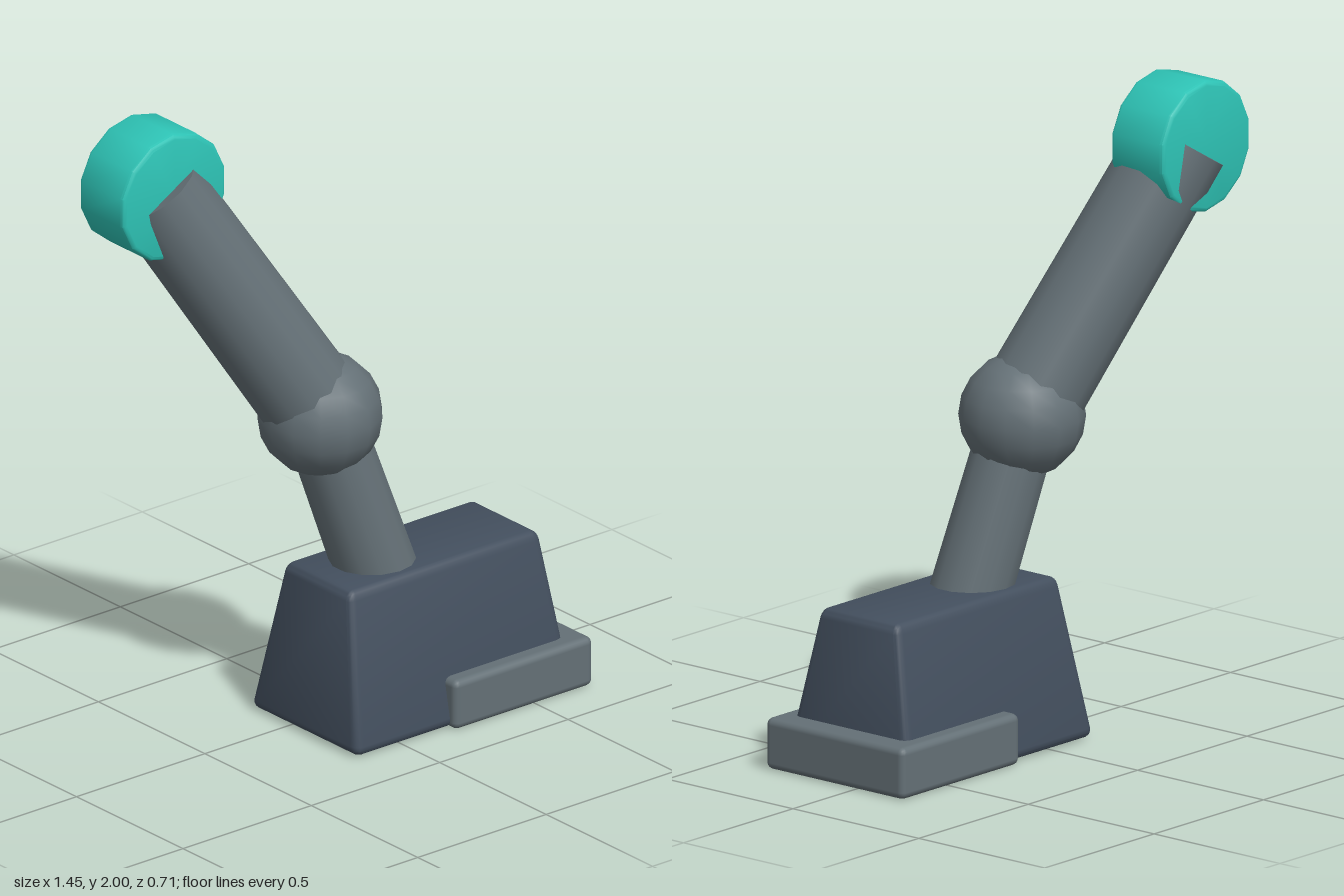
import * as THREE from 'three';
import { RoundedBoxGeometry } from 'three/addons/geometries/RoundedBoxGeometry.js';
import { toCreasedNormals } from 'three/addons/utils/BufferGeometryUtils.js';

const SIDES = 14;

const material = (color) => {
  const m = new THREE.MeshStandardMaterial();
  m.color.set(color);
  return m;
};

// Limb segment running between two joints
function limb(name, from, to, rFrom, rTo, mat) {
  const axis = to.clone().sub(from);
  const mesh = new THREE.Mesh(new THREE.CylinderGeometry(rTo, rFrom, axis.length(), SIDES), mat);
  mesh.name = name;
  mesh.position.copy(from).add(to).multiplyScalar(0.5);
  mesh.quaternion.setFromUnitVectors(new THREE.Vector3(0, 1, 0), axis.normalize());
  return mesh;
}

// Rounded box whose top is narrowed to the given scale
function taperedBox(w, h, d, radius, topX, topZ) {
  const geo = new RoundedBoxGeometry(w, h, d, 2, radius);
  const p = geo.attributes.position;
  for (let i = 0; i < p.count; i++) {
    const t = p.getY(i) / h + 0.5;
    p.setX(i, p.getX(i) * THREE.MathUtils.lerp(1, topX, t));
    p.setZ(i, p.getZ(i) * THREE.MathUtils.lerp(1, topZ, t));
  }
  return toCreasedNormals(geo, 0.7);
}

// Disc with softened rims, axis along z
function softDisc(radius, width, bevel) {
  const h = width / 2;
  const profile = [new THREE.Vector2(0, -h)];
  for (const side of [-1, 1]) {
    for (let i = 0; i <= 3; i++) {
      const a = (side < 0 ? i : 3 - i) * Math.PI / 6;
      profile.push(new THREE.Vector2(
        radius - bevel + bevel * Math.sin(a), side * (h - bevel + bevel * Math.cos(a))));
    }
  }
  profile.push(new THREE.Vector2(0, h));
  const geo = new THREE.LatheGeometry(profile, SIDES);
  geo.rotateX(-Math.PI / 2);
  return toCreasedNormals(geo, 0.6);
}

export function createModel() {
  const group = new THREE.Group();
  const grey = material(0x647076);
  const dark = material(0x434f5e);
  const teal = material(0x2ec4b6);

  // Joint positions
  const ankle = new THREE.Vector3(0.15, 0.3, 0.1);
  const kneePos = new THREE.Vector3(-0.065, 1.0, 0.015);
  const hipPos = new THREE.Vector3(-0.53, 1.795, -0.21);

  const add = (name, geo, mat, x, y, z) => {
    const mesh = new THREE.Mesh(geo, mat);
    mesh.name = name;
    mesh.position.set(x, y, z);
    group.add(mesh);
  };

  // Foot and toe guard
  add('foot', taperedBox(0.85, 0.495, 0.51, 0.03, 0.87, 0.6), dark, 0.24, 0.2525, 0.08);
  add('toeGuard', new RoundedBoxGeometry(0.54, 0.16, 0.55, 2, 0.022), grey, 0.452, 0.08, 0.08);

  // Shin, knee, thigh and hip
  group.add(limb('shin', ankle, kneePos, 0.128, 0.12, grey));
  add('knee', new THREE.SphereGeometry(0.192, SIDES, 10), grey, ...kneePos);
  group.add(limb('thigh', kneePos, hipPos, 0.157, 0.15, grey));
  add('hip', softDisc(0.205, 0.21, 0.015), teal, ...hipPos);

  return group;
}
